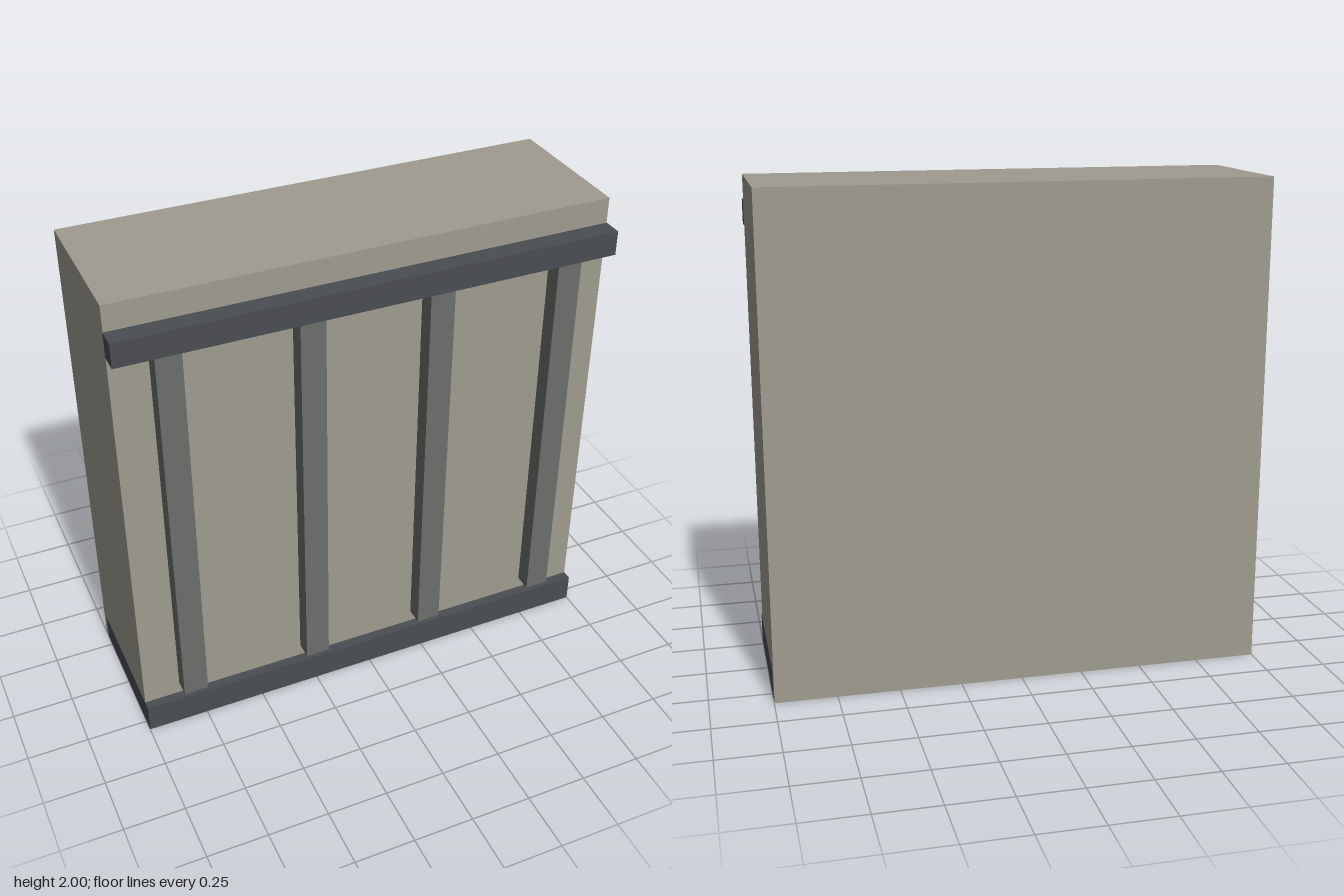
import * as THREE from 'three';

export function createModel() {
  const group = new THREE.Group();
  const wallPaint = new THREE.MeshStandardMaterial({ color: 0x9f9b8f });
  wallPaint.name = 'warmGreyWall';
  const darkTrim = new THREE.MeshStandardMaterial({ color: 0x4a4d52 });
  darkTrim.name = 'darkTrim';
  const ribPaint = new THREE.MeshStandardMaterial({ color: 0x6b6e6b });
  ribPaint.name = 'greyRib';

  // Box given by its lower and upper corners
  function box(name, material, [x0, y0, z0], [x1, y1, z1]) {
    const mesh = new THREE.Mesh(new THREE.BoxGeometry(x1 - x0, y1 - y0, z1 - z0), material);
    mesh.position.set((x0 + x1) / 2, (y0 + y1) / 2, (z0 + z1) / 2);
    mesh.name = name;
    group.add(mesh);
  }

  // Wall block, inset a hair so the plinth faces stay clean
  box('wallBlock', wallPaint, [-0.999, 0.001, -0.34], [0.999, 2, 0.26]);

  // Plinth running under the wall and out in front
  box('plinth', darkTrim, [-1, 0, -0.3], [1, 0.12, 0.3]);

  // Upper rail across the front
  box('upperRail', darkTrim, [-1, 1.795, 0.26], [1, 1.895, 0.34]);

  // Vertical ribs hanging from the rail, just clear of the wall
  [-0.8, -0.26, 0.26, 0.8].forEach((x, i) =>
    box(`rib${i + 1}`, ribPaint, [x - 0.05, 0.18, 0.266], [x + 0.05, 1.795, 0.339]));

  return group;
}
